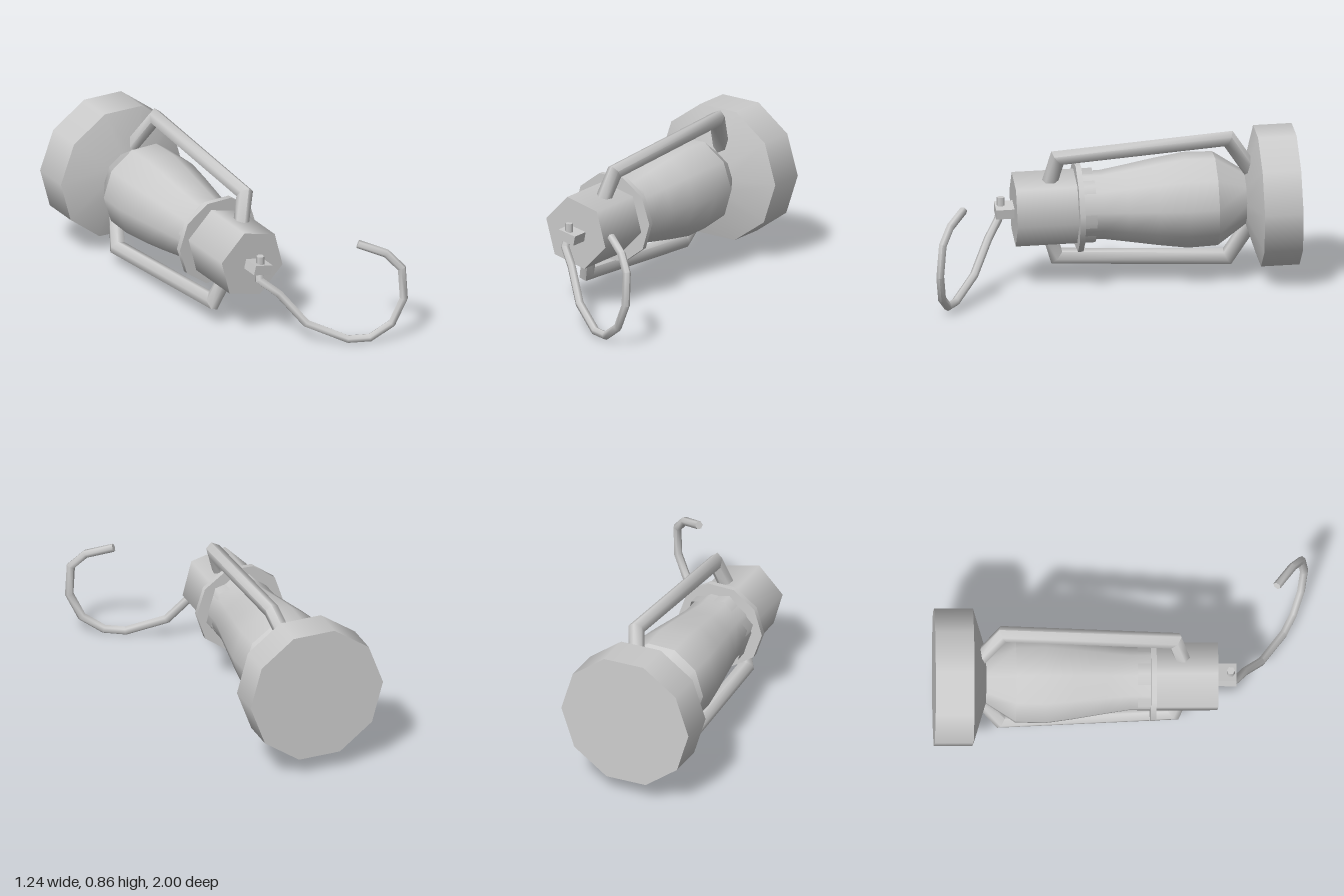
import * as THREE from 'three';
import { toCreasedNormals } from 'three/addons/utils/BufferGeometryUtils.js';

const material = new THREE.MeshStandardMaterial({ color: 0xcccccc, side: THREE.DoubleSide });
const V = (x, y, z) => new THREE.Vector3(x, y, z);

function add(parent, name, geometry) {
  const mesh = new THREE.Mesh(geometry, material);
  mesh.name = name;
  parent.add(mesh);
  return mesh;
}

// Turned part: each section is smooth, with hard edges between sections
function turned(parent, name, sides, vertexAngle, sections) {
  const group = new THREE.Group();
  group.name = name;
  const phi = THREE.MathUtils.degToRad(vertexAngle + 90);
  for (const section of sections) {
    const points = section.map(([r, y]) => new THREE.Vector2(r, y));
    add(group, name, new THREE.LatheGeometry(points, sides, phi));
  }
  parent.add(group);
}

// Bent rod: a ring of corners carried along a path with mitred joints
function rodGeometry(path, radius, sides) {
  const dirs = path.slice(1).map((p, i) => p.clone().sub(path[i]).normalize());
  const side = V(0.3, 0.2, 1).cross(dirs[0]).normalize();
  const up = dirs[0].clone().cross(side);
  const ring = [];
  for (let j = 0; j < sides; j++) {
    const a = (j / sides) * Math.PI * 2;
    ring.push(path[0].clone().addScaledVector(side, radius * Math.cos(a)).addScaledVector(up, radius * Math.sin(a)));
  }
  const positions = [];
  const index = [];
  path.forEach((p, i) => {
    if (i > 0) {
      const d = dirs[i - 1];
      const n = d.clone().add(dirs[i] ?? d).normalize();
      for (const c of ring) c.addScaledVector(d, p.clone().sub(c).dot(n) / d.dot(n));
    }
    for (const c of ring) positions.push(c.x, c.y, c.z);
  });
  const last = (path.length - 1) * sides;
  for (let j = 0; j < sides; j++) {
    const k = (j + 1) % sides;
    for (let b = 0; b < last; b += sides) {
      index.push(b + j, b + k, b + sides + j, b + k, b + sides + k, b + sides + j);
    }
    if (j > 0 && j < sides - 1) index.push(0, k, j, last, last + j, last + k);
  }
  const geometry = new THREE.BufferGeometry();
  geometry.setAttribute('position', new THREE.Float32BufferAttribute(positions, 3));
  geometry.setIndex(index);
  return toCreasedNormals(geometry, 1.1);
}

export function createModel() {
  const model = new THREE.Group();
  model.name = 'lantern';

  // Lantern lies on its side: local y runs from the base to the top cap
  const lamp = new THREE.Group();
  lamp.name = 'lampBody';
  lamp.position.set(-0.24, 0.47, -0.97);
  lamp.quaternion.setFromUnitVectors(V(0, 1, 0), V(0.13, -0.04, 1.53).normalize());
  model.add(lamp);

  turned(lamp, 'base', 10, 3, [
    [[0, 0], [0.383, 0]],
    [[0.383, 0], [0.383, 0.21]],
    [[0.383, 0.21], [0.13, 0.285], [0, 0.285]],
  ]);
  turned(lamp, 'glassBody', 10, 5, [
    [[0.14, 0.27], [0.255, 0.44]],
    [[0.255, 0.44], [0.26, 0.6], [0.237, 0.76], [0.208, 0.93], [0.187, 1.06], [0.187, 1.19]],
  ]);
  turned(lamp, 'collar', 10, 5, [
    [[0.15, 1.17], [0.25, 1.17]],
    [[0.25, 1.17], [0.25, 1.2]],
    [[0.25, 1.2], [0.15, 1.2]],
  ]);
  turned(lamp, 'topCap', 6, -10, [
    [[0.202, 1.1], [0.202, 1.535]],
    [[0.202, 1.535], [0, 1.535]],
  ]);

  // Side bars: the same bent rod on opposite sides of the axis
  const barProfile = [[0.16, 0.24], [0.38, 0.37], [0.315, 1.3], [0.15, 1.345]];
  for (const [name, turn] of [['upperBar', 77], ['lowerBar', 257]]) {
    const a = THREE.MathUtils.degToRad(turn);
    const path = barProfile.map(([r, y]) => V(r * Math.cos(a), y, -r * Math.sin(a)));
    add(lamp, name, rodGeometry(path, 0.043, 6));
  }

  // Hook mount and pin on the top cap
  const mount = add(model, 'hookMount', new THREE.BoxGeometry(0.11, 0.055, 0.1));
  mount.position.set(-0.098, 0.43, 0.61);
  mount.rotation.set(0.03, 0.08, -0.22);
  const pin = add(model, 'hookPin', new THREE.CylinderGeometry(0.022, 0.022, 0.11, 6));
  pin.position.set(-0.098, 0.447, 0.63);

  // Hanging hook
  const hookPath = [
    [-0.105, 0.43, 0.63], [-0.112, 0.37, 0.645], [-0.02, 0.29, 0.7], [0.105, 0.12, 0.78],
    [0.305, 0.026, 0.885], [0.415, 0.03, 0.93], [0.53, 0.105, 0.965], [0.597, 0.245, 0.977],
    [0.592, 0.42, 0.963], [0.52, 0.505, 0.92], [0.385, 0.56, 0.845],
  ].map((p) => V(...p));
  add(model, 'hook', rodGeometry(hookPath, 0.023, 6));

  return model;
}
